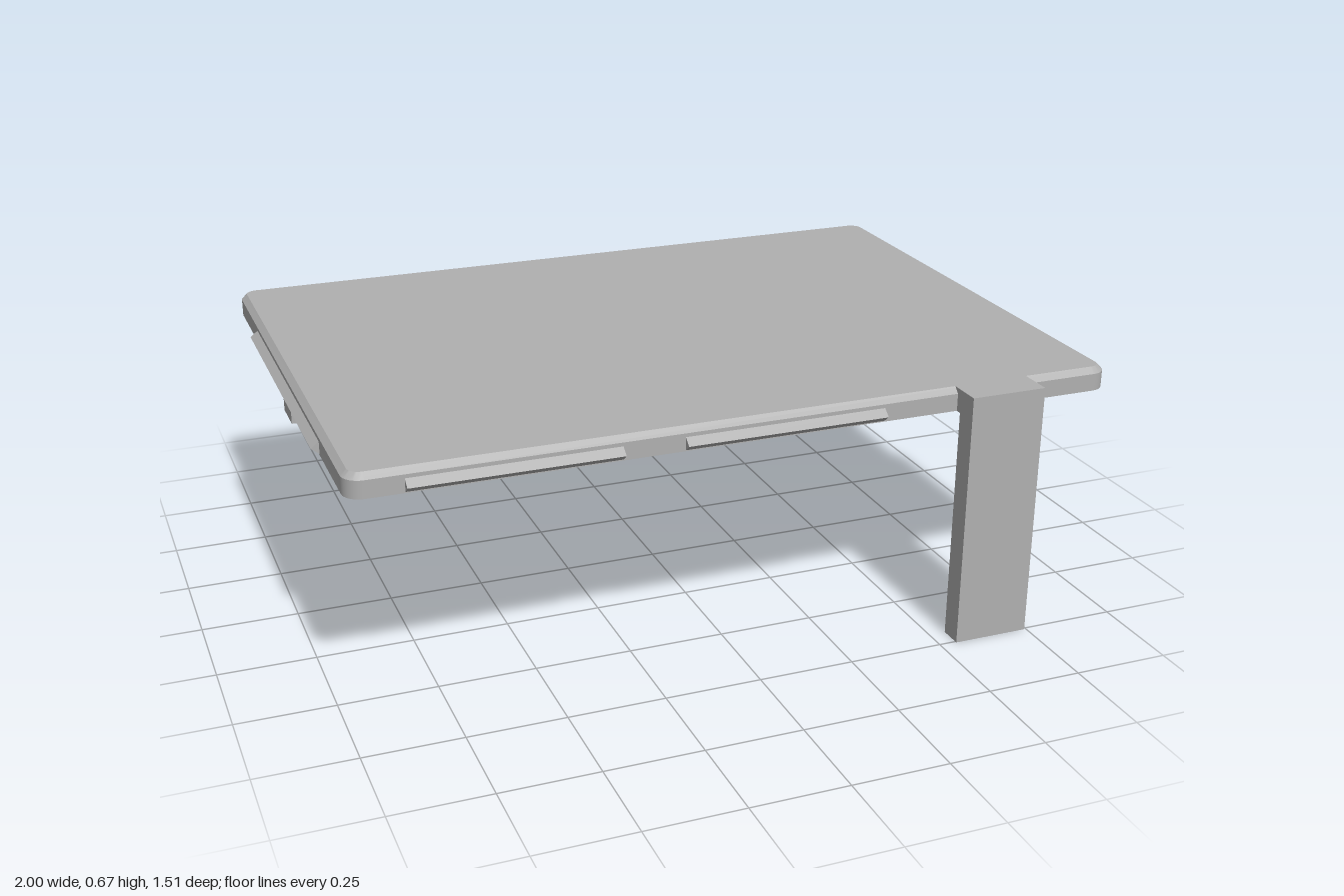
import * as THREE from 'three';
import { toCreasedNormals } from 'three/addons/utils/BufferGeometryUtils.js';

const grey = new THREE.MeshStandardMaterial({ color: 0xb0b0b0 });
grey.name = 'plain grey';

// Outline in x/z with a radius per corner: back right, front right, front left, back left
function outline(x0, x1, z0, z1, radii, inset = 0) {
  const corners = [[x1, z0, -1, 1], [x1, z1, -1, -1], [x0, z1, 1, -1], [x0, z0, 1, 1]];
  const points = [];
  corners.forEach(([x, z, sx, sz], i) => {
    const r = radii[i], steps = r > 0 ? 8 : 0;
    for (let k = 0; k <= steps; k++) {
      const a = -Math.PI / 2 + i * Math.PI / 2 + (steps ? k / steps : 0) * Math.PI / 2;
      const arc = r > 0 ? r - inset : 0;
      const off = r > 0 ? r : inset;
      points.push([x + sx * off + Math.cos(a) * arc, z + sz * off + Math.sin(a) * arc]);
    }
  });
  return points;
}

// Closed solid through stacked outlines, listed from bottom to top
function loft(levels) {
  const pos = [], index = [], n = levels[0].points.length;
  levels.forEach(({ y, points }) => points.forEach(([x, z]) => pos.push(x, y, z)));
  for (let l = 0; l < levels.length - 1; l++) {
    for (let i = 0; i < n; i++) {
      const a = l * n + i, b = l * n + (i + 1) % n;
      index.push(a, a + n, b, b, a + n, b + n);
    }
  }
  const top = (levels.length - 1) * n;
  for (let i = 1; i < n - 1; i++) {
    index.push(0, i, i + 1);
    index.push(top, top + i + 1, top + i);
  }
  const g = new THREE.BufferGeometry();
  g.setAttribute('position', new THREE.Float32BufferAttribute(pos, 3));
  g.setIndex(index);
  return toCreasedNormals(g, 0.5);
}

// Profile drawn in x/y and extruded along z, centred on its length
function prism(profile, length) {
  const shape = new THREE.Shape(profile.map(([x, y]) => new THREE.Vector2(x, y)));
  return new THREE.ExtrudeGeometry(shape, { depth: length, bevelEnabled: false })
    .translate(0, 0, -length / 2);
}

export function createModel() {
  const model = new THREE.Group();
  const add = (name, geometry) => {
    const mesh = new THREE.Mesh(geometry, grey);
    mesh.name = name;
    model.add(mesh);
    return mesh;
  };

  // Flat plate with rounded corners and a chamfered top edge
  const r = 0.045;
  const plate = (inset) => outline(-0.98, 0.98, -0.73, 0.68, [r, r, r, r], inset);
  add('plate', loft([
    { y: 0.61, points: plate(0) },
    { y: 0.655, points: plate(0) },
    { y: 0.67, points: plate(0.015) },
  ]));

  // Wall under the back edge, rounded at its outer corner
  const wall = outline(-0.88, 0.98, -0.73, -0.615, [r, 0, 0, 0]);
  add('backWall', loft([{ y: 0.29, points: wall }, { y: 0.61, points: wall }]));

  // Front leg with a short bridge into the plate
  const leg = prism([[0.755, 0], [0.755, 0.67], [0.66, 0.67], [0.66, 0.61], [0.695, 0.61], [0.695, 0]], 0.2);
  leg.rotateY(-Math.PI / 2);
  add('frontLeg', leg).position.x = 0.645;

  // Triangular snap ridges along the four sides
  const ridge = (name, x, y, z, length, height, turn) => {
    const h = height / 2;
    const mesh = add(name, prism([[-0.004, -h], [0, -h], [0.021, 0], [0, h], [-0.004, h]], length));
    mesh.position.set(x, y, z);
    mesh.rotation.y = turn;
  };
  ridge('frontRidge', -0.587, 0.629, 0.68, 0.515, 0.033, -Math.PI / 2);
  ridge('frontRidge', 0.085, 0.629, 0.68, 0.52, 0.033, -Math.PI / 2);
  ridge('leftRidge', 0.979, 0.629, 0.35, 0.415, 0.033, 0);
  ridge('leftRidge', 0.979, 0.629, -0.378, 0.415, 0.033, 0);
  ridge('rightRidge', -0.979, 0.629, -0.018, 0.835, 0.033, Math.PI);
  ridge('backRidge', -0.538, 0.548, -0.732, 0.575, 0.046, Math.PI / 2);
  ridge('backRidge', 0.55, 0.548, -0.732, 0.57, 0.046, Math.PI / 2);
  return model;
}
